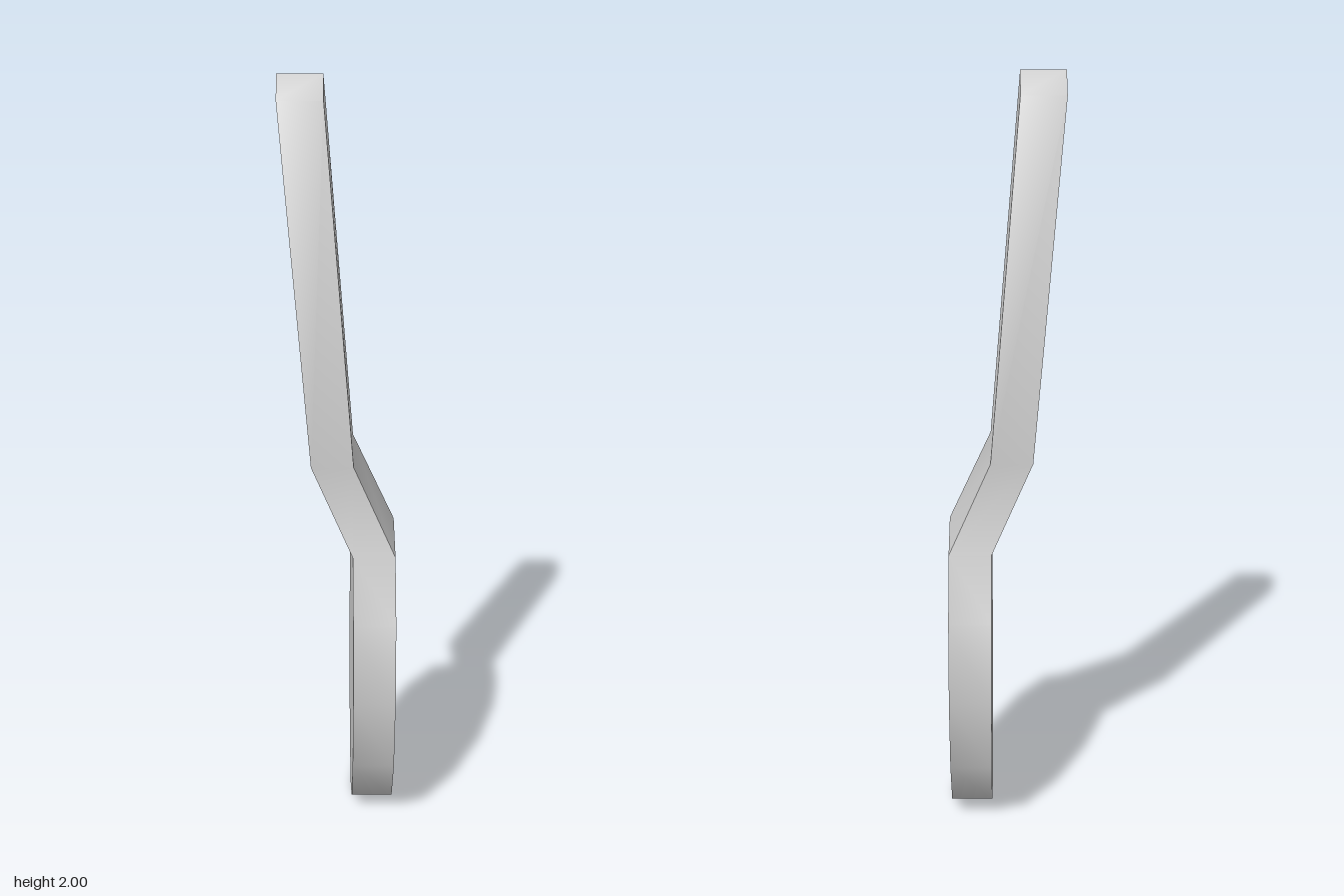
import * as THREE from 'three';
import { toCreasedNormals } from 'three/addons/utils/BufferGeometryUtils.js';

const X0 = 0.035, X1 = 0.146, RZ = 0.243, RY = 0.425, SIDES = 12;

// point k of the bowl outline, counted from the top towards +z
function rim(x, k) {
  const t = (k / SIDES) * Math.PI * 2;
  return [x, RY + RY * Math.cos(t), RZ * Math.sin(t)];
}

// roof-shaped handle section: two outer rails and a raised middle on each side
function section(xa, xb, y, peak, w) {
  return [[xa, y, w], [xa, peak, 0], [xa, y, -w], [xb, y, -w], [xb, peak, 0], [xb, y, w]];
}

function meshFrom(name, points, crease) {
  let geometry = new THREE.BufferGeometry();
  geometry.setAttribute('position', new THREE.Float32BufferAttribute(points.flat(), 3));
  geometry = toCreasedNormals(geometry, crease);
  const mesh = new THREE.Mesh(geometry, new THREE.MeshStandardMaterial({ color: 0xcccccc }));
  mesh.name = name;
  return mesh;
}

export function createModel() {
  const group = new THREE.Group();
  group.name = 'paddle';
  const walls = [];
  const quad = (a, b, c, d) => walls.push(a, b, c, a, c, d);

  // rim of the oval blade, open at the top where the handle grows out
  for (let k = 1; k < SIDES - 1; k++) {
    quad(rim(X0, k), rim(X0, k + 1), rim(X1, k + 1), rim(X1, k));
  }

  // bent neck and tapering handle
  const neckY = rim(0, 1)[1], neckW = rim(0, 1)[2];
  const rings = [
    section(X0, X1, neckY, RY * 2, neckW),
    section(-0.072, 0.037, 1.035, 1.09, 0.093),
    section(-0.147, -0.036, 1.947, 2, 0.069),
  ];
  for (let r = 0; r < 2; r++) {
    const lo = rings[r], hi = rings[r + 1];
    for (let i = 0; i < 6; i++) {
      const j = (i + 1) % 6;
      quad(lo[j], lo[i], hi[i], hi[j]);
    }
  }

  // pointed handle end
  const e = rings[2];
  quad(e[0], e[5], e[4], e[1]);
  quad(e[1], e[4], e[3], e[2]);
  group.add(meshFrom('rimAndHandle', walls, 1.1));

  // flat blade faces
  const left = [], right = [];
  for (let k = 0; k < SIDES; k++) {
    left.push([X1, RY, 0], rim(X1, k), rim(X1, k + 1));
    right.push([X0, RY, 0], rim(X0, k + 1), rim(X0, k));
  }
  group.add(meshFrom('leftBladeFace', left, 0.1), meshFrom('rightBladeFace', right, 0.1));
  return group;
}
